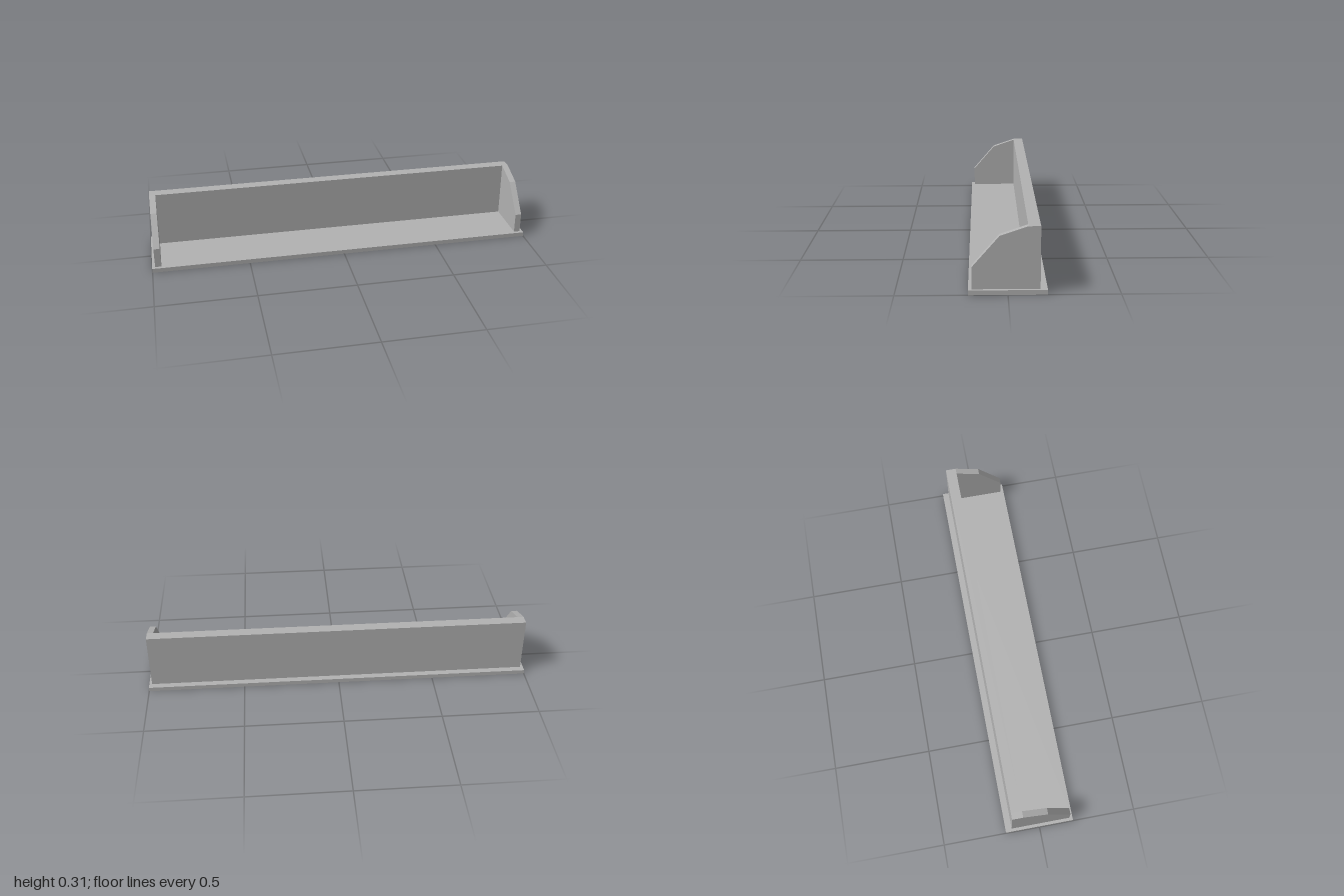
import * as THREE from 'three';

export function createModel() {
  const group = new THREE.Group();
  const grey = new THREE.MeshStandardMaterial({ color: 0xb2b2b2 });
  grey.name = 'light grey';

  const add = (name, geometry, x, y, z) => {
    const mesh = new THREE.Mesh(geometry, grey);
    mesh.name = name;
    mesh.position.set(x, y, z);
    group.add(mesh);
  };

  const baseTop = 0.022, top = 0.309;
  const inner = 0.953, outer = 0.985;
  const back = -0.144, wallFront = -0.089;

  // Base plate, slightly larger than the walls
  add('basePlate', new THREE.BoxGeometry(2, baseTop, 0.352), 0, baseTop / 2, 0);

  // Back wall between the end panels
  add('backWall', new THREE.BoxGeometry(inner * 2, top - baseTop, wallFront - back),
    0, (top + baseTop) / 2, (back + wallFront) / 2);

  // End panels with a two-step sloped front edge, drawn as (z, y)
  const profile = new THREE.Shape([
    [back, baseTop], [0.159, baseTop], [0.159, 0.125],
    [0.037, 0.266], [wallFront, top], [back, top],
  ].map(([z, y]) => new THREE.Vector2(z, y)));
  const panel = new THREE.ExtrudeGeometry(profile, { depth: outer - inner, bevelEnabled: false });
  panel.rotateY(-Math.PI / 2); // thickness now runs towards -x
  add('leftEndPanel', panel, outer, 0, 0);
  add('rightEndPanel', panel, -inner, 0, 0);

  return group;
}
